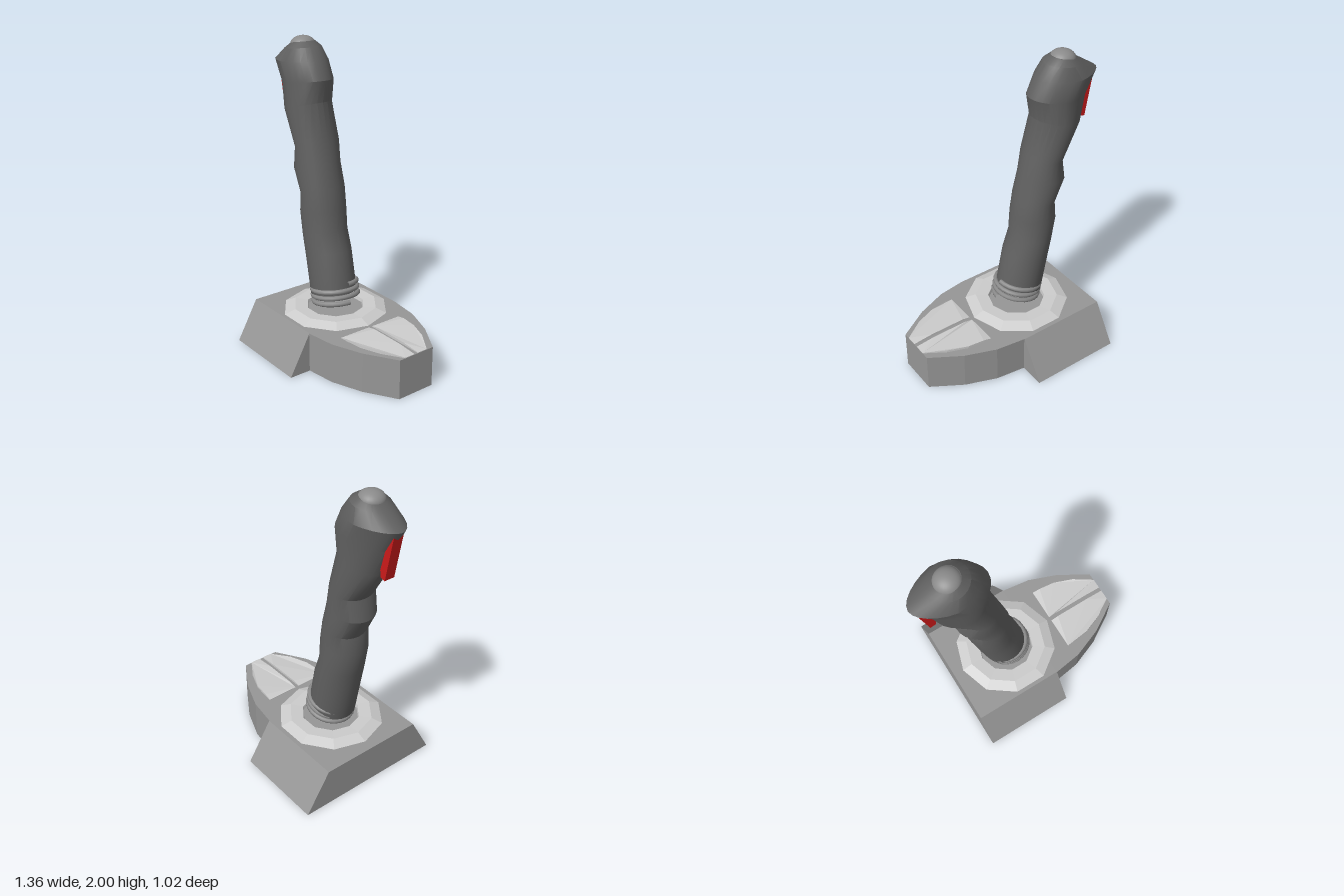
import * as THREE from 'three';
import { toCreasedNormals } from 'three/addons/utils/BufferGeometryUtils.js';

const MID = 0.012; // z of the symmetry plane

const paint = (color, extra = {}) => new THREE.MeshStandardMaterial({ color, ...extra });

// Upright prism from an [x, z] outline, between two heights
function prism(outline, y, height) {
  const shape = new THREE.Shape(outline.map(([x, z]) => new THREE.Vector2(x, -z)));
  const geo = new THREE.ExtrudeGeometry(shape, { depth: height, bevelEnabled: false });
  return geo.rotateX(-Math.PI / 2).translate(0, y, 0);
}

// Loft through tilted oval sections: [left x, left y, right x, right y, half width, nose taper]
function loft(sections, n = 24) {
  const pos = [], index = [];
  for (const [lx, ly, rx, ry, w, taper] of sections) {
    for (let j = 0; j < n; j++) {
      const a = (j / n) * Math.PI * 2, c = Math.cos(a);
      const t = (c + 1) / 2;
      pos.push(lx + (rx - lx) * t, ly + (ry - ly) * t,
        MID + w * Math.sin(a) * (1 - taper * Math.max(0, -c)));
    }
  }
  for (let i = 0; i < sections.length - 1; i++) {
    for (let j = 0; j < n; j++) {
      const a = i * n + j, b = i * n + (j + 1) % n;
      index.push(a, a + n, b, b, a + n, b + n);
    }
  }
  // End caps
  const last = (sections.length - 1) * n;
  for (let j = 1; j < n - 1; j++) {
    index.push(0, j, j + 1, last, last + j + 1, last + j);
  }
  const geo = new THREE.BufferGeometry();
  geo.setAttribute('position', new THREE.Float32BufferAttribute(pos, 3));
  geo.setIndex(index);
  return toCreasedNormals(geo, 0.42);
}

export function createModel() {
  const model = new THREE.Group();
  const add = (name, geo, mat) => {
    const mesh = new THREE.Mesh(geo, mat);
    mesh.name = name;
    model.add(mesh);
    return mesh;
  };

  const baseMat = paint(0x969696, { flatShading: true });
  const plateMat = paint(0xcccccc, { flatShading: true, side: THREE.DoubleSide });
  const gripMat = paint(0x606060);
  const metalMat = paint(0x8a8a8a);

  // Base block with sloping sides
  const section = new THREE.Shape([[-0.51, 0], [0.51, 0], [0.345, 0.26], [-0.365, 0.26]]
    .map(([x, y]) => new THREE.Vector2(x, y)));
  add('baseBlock', new THREE.ExtrudeGeometry(section, { depth: 0.615, bevelEnabled: false })
    .rotateY(Math.PI / 2).translate(-0.53, 0, 0), baseMat);

  // Tapering nose of the base
  const half = [[0.085, 0.355], [0.28, 0.328], [0.48, 0.252], [0.68, 0.13]];
  const nose = [...half.map(([x, z]) => [x, MID - z]), ...half.reverse().map(([x, z]) => [x, MID + z])];
  add('baseNose', prism(nose.reverse(), 0, 0.26), baseMat);

  // Pair of raised plates on the nose, thinner at both ends
  for (const side of [-1, 1]) {
    const outline = [[0.255, 0.014], [0.31, 0.014], [0.55, 0.014], [0.68, 0.014], [0.68, 0.084],
      [0.55, 0.166], [0.42, 0.215], [0.31, 0.228], [0.255, 0.232]]
      .map(([x, z]) => [x, 0.016 + side * z]);
    const geo = prism(outline, 0.26, 0.015);
    const p = geo.attributes.position;
    for (let i = 0; i < p.count; i++) {
      if (p.getY(i) > 0.27 && (p.getX(i) < 0.28 || p.getX(i) > 0.6)) p.setY(i, 0.264);
    }
    add(side < 0 ? 'backPlate' : 'frontPlate', geo, plateMat);
  }

  // Ten-sided collar around the stick
  const collar = [[0.345, 0.26], [0.275, 0.288], [0.19, 0.284], [0.185, 0.261]]
    .map(([r, y]) => new THREE.Vector2(r, y));
  add('collar', new THREE.LatheGeometry(collar, 10, Math.PI / 2), plateMat)
    .position.set(-0.115, 0, MID);

  // Spring, tilted with the stick
  const coil = [], turns = 3, steps = 24;
  for (let i = 0; i <= turns * steps; i++) {
    const a = (i / steps) * Math.PI * 2;
    coil.push(new THREE.Vector3(0.147 * Math.cos(a), 0.04 * i / steps, 0.147 * Math.sin(a)));
  }
  const spring = add('spring', new THREE.TubeGeometry(
    new THREE.CatmullRomCurve3(coil), turns * steps, 0.016, 8), metalMat);
  spring.position.set(-0.105, 0.32, MID);
  spring.rotation.z = 0.2;

  // Grip with finger grooves and a beaked head
  add('grip', loft([
    [-0.28, 0.345, 0.02, 0.40, 0.15, 0],
    [-0.33, 0.60, -0.035, 0.67, 0.15, 0],
    [-0.353, 0.73, -0.085, 0.80, 0.15, 0],
    [-0.385, 0.90, -0.09, 0.94, 0.15, 0],
    [-0.367, 1.02, -0.118, 1.08, 0.15, 0],
    [-0.445, 1.17, -0.15, 1.23, 0.15, 0],
    [-0.415, 1.31, -0.18, 1.37, 0.15, 0],
    [-0.555, 1.53, -0.23, 1.61, 0.15, 0.1],
    [-0.60, 1.70, -0.20, 1.75, 0.15, 0.2],
    [-0.68, 1.84, -0.25, 1.86, 0.152, 0.25],
    [-0.56, 1.918, -0.31, 1.94, 0.115, 0.1],
    [-0.50, 1.955, -0.36, 1.972, 0.075, 0],
  ]), gripMat);

  // Thumb button
  const button = add('thumbButton', new THREE.SphereGeometry(0.08, 24, 12, 0, Math.PI * 2, 0, Math.PI / 2), metalMat);
  button.position.set(-0.435, 1.945, MID);
  button.scale.y = 0.69;
  button.rotation.z = 0.06;

  // Trigger
  const trigger = new THREE.Shape([[-0.655, 1.82], [-0.60, 1.525], [-0.565, 1.535], [-0.54, 1.80]]
    .map(([x, y]) => new THREE.Vector2(x, y)));
  add('trigger', new THREE.ExtrudeGeometry(trigger, { depth: 0.07, bevelEnabled: false })
    .translate(0, 0, MID - 0.035), paint(0xcc1a1a, { flatShading: true }));

  return model;
}
